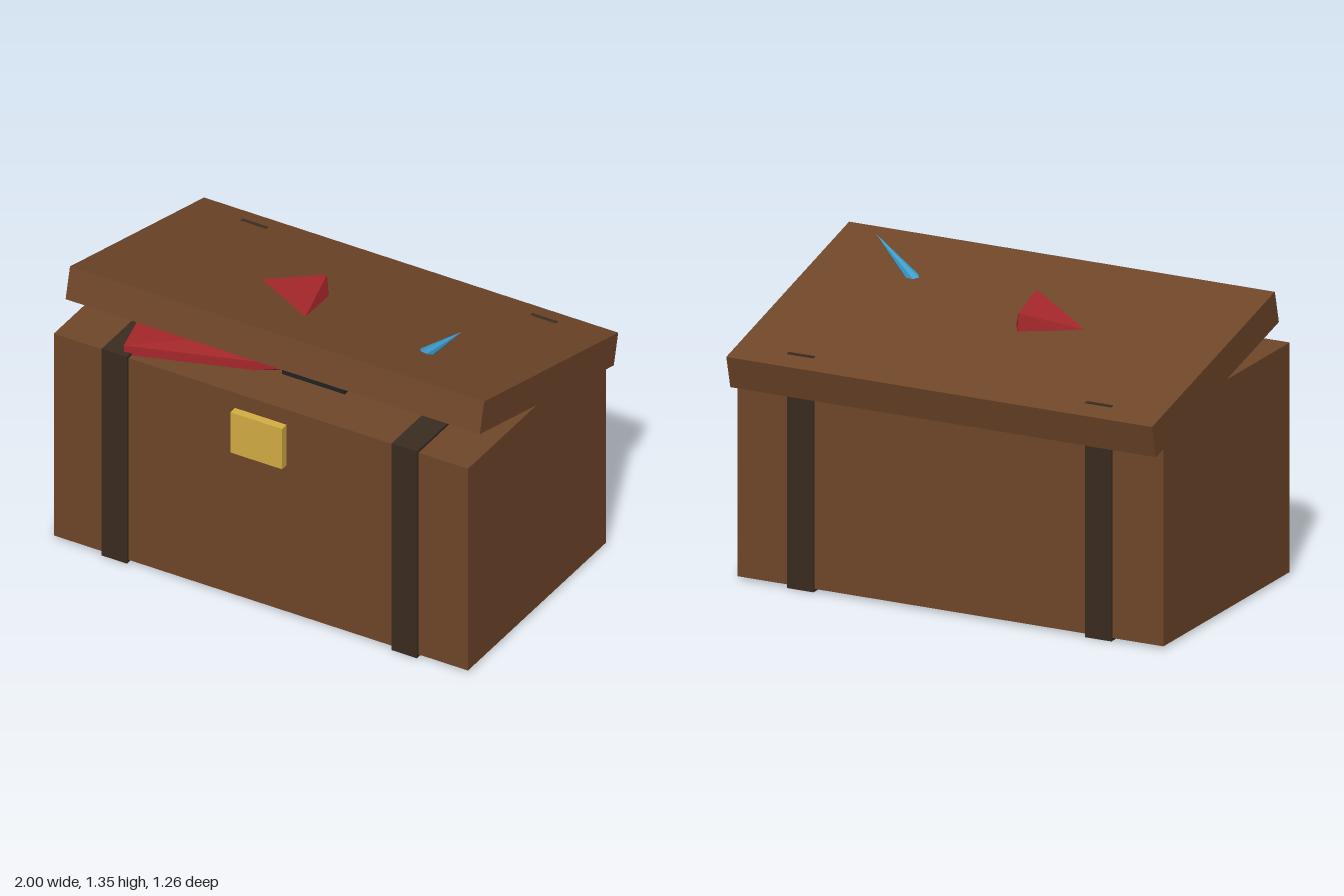
import * as THREE from 'three';
import { ConvexGeometry } from 'three/addons/geometries/ConvexGeometry.js';

const material = (color) => new THREE.MeshStandardMaterial({ color, flatShading: true });
const wood = material(0x70472a);
const leather = material(0x3a2c20);
const brass = material(0xd4af45);
const cloth = material(0xa8282c);
const dark = material(0x222222);
const blue = material(0x3f9fcf);

export function createModel() {
  const group = new THREE.Group();

  const add = (name, geometry, mat) => {
    const mesh = new THREE.Mesh(geometry, mat);
    mesh.name = name;
    group.add(mesh);
    return mesh;
  };

  // Box spanning two opposite corners
  const box = (name, mat, [x0, y0, z0], [x1, y1, z1]) => {
    const mesh = add(name, new THREE.BoxGeometry(x1 - x0, y1 - y0, z1 - z0), mat);
    mesh.position.set((x0 + x1) / 2, (y0 + y1) / 2, (z0 + z1) / 2);
    return mesh;
  };

  // Chest body and the clasp on its front
  box('chestBody', wood, [-1, 0.012, -0.53], [1, 1.015, 0.592]);
  box('clasp', brass, [-0.125, 0.74, 0.58], [0.125, 0.94, 0.63]);

  // Straps wrapped around the body
  for (const side of [-1, 1]) {
    const name = side > 0 ? 'leftStrap' : 'rightStrap';
    const strap = box(name, leather, [-0.0615, 0, -0.541], [0.0615, 1.027, 0.605]);
    strap.position.x = side * 0.7;
  }

  // Lid propped open at the front
  const lid = add('lid', new THREE.BoxGeometry(2, 0.147, 1.125), wood);
  lid.position.set(0, 1.066, -0.0675);
  lid.rotation.x = -0.247;

  // Crumpled cloth bulging out under and through the lid
  const corners = [
    [-0.67, 1.06, 0.58], [0.01, 1.21, 0.3], [-0.1, 1.21, -0.115],
    [-0.78, 1.06, 0.12], [0.06, 1.06, 0.34],
    [-0.66, 0.9, 0.57], [0.06, 0.9, 0.1], [-0.08, 0.9, -0.12], [-0.81, 0.9, 0.12],
  ].map((p) => new THREE.Vector3(...p));
  add('cloth', new ConvexGeometry(corners), cloth);

  // Dark block lying next to the cloth
  box('darkBlock', dark, [-0.03, 0.93, 0.297], [0.273, 1.07, 0.37]);

  // Slanted spike piercing the lid
  const base = new THREE.Vector3(0.27, 0.93, 0.155);
  const tip = new THREE.Vector3(0.712, 1.353, 0.156);
  const axis = tip.clone().sub(base);
  const spike = add('spike', new THREE.ConeGeometry(0.07, axis.length(), 7), blue);
  spike.position.copy(base).addScaledVector(axis, 0.5);
  spike.quaternion.setFromUnitVectors(new THREE.Vector3(0, 1, 0), axis.normalize());

  return group;
}
